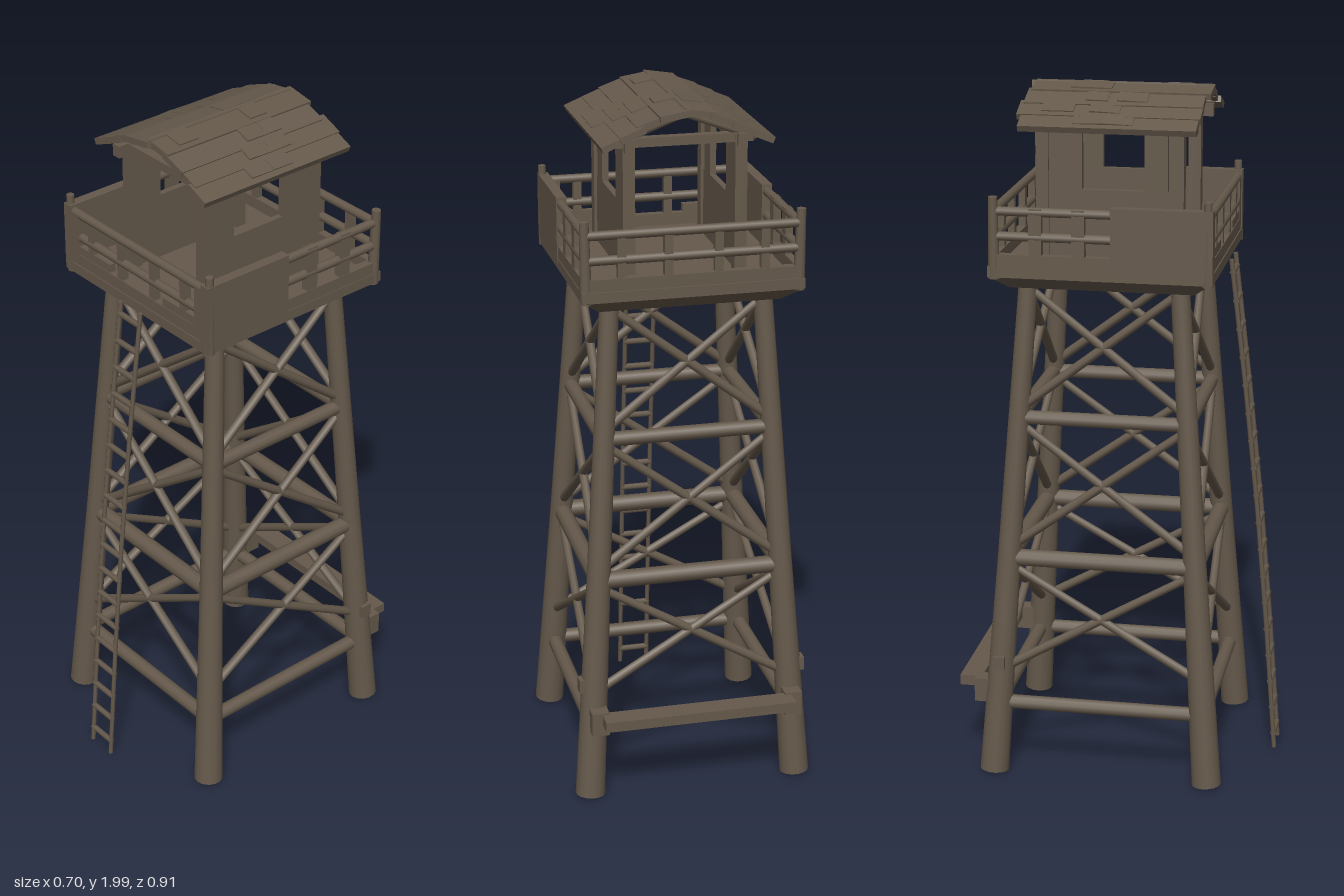
import * as THREE from 'three';

export function createModel() {
  const root = new THREE.Group();
  root.name = 'watchtower';
  const wood = new THREE.MeshStandardMaterial({ color: 0x65594b });
  wood.name = 'weathered wood';

  let seed = 7;
  const rand = () => (seed = (seed * 16807) % 2147483647) / 2147483647;
  const V = (x, y, z) => new THREE.Vector3(x, y, z);

  const group = (name) => {
    const g = new THREE.Group();
    g.name = name;
    root.add(g);
    return g;
  };
  const add = (parent, name, geo) => {
    const m = new THREE.Mesh(geo, wood);
    m.name = name;
    parent.add(m);
    return m;
  };
  // box given by its limits
  const box = (parent, name, x0, x1, y0, y1, z0, z1) => {
    const m = add(parent, name, new THREE.BoxGeometry(x1 - x0, y1 - y0, z1 - z0));
    m.position.set((x0 + x1) / 2, (y0 + y1) / 2, (z0 + z1) / 2);
    return m;
  };
  // round pole between two points
  const pole = (parent, name, a, b, ra, rb = ra, sides = 10) => {
    const d = b.clone().sub(a);
    const m = add(parent, name, new THREE.CylinderGeometry(rb, ra, d.length(), sides));
    m.position.copy(a).add(b).multiplyScalar(0.5);
    m.quaternion.setFromUnitVectors(V(0, 1, 0), d.normalize());
    return m;
  };

  // leg axis at height y; the frame leans inward
  const ZC = -0.035;
  const legAt = ([sx, sz], y) => {
    const t = y / 1.46;
    return V(sx * (0.308 - 0.09 * t), y, ZC + sz * (0.315 - 0.1 * t));
  };
  const corners = [[1, 1], [1, -1], [-1, -1], [-1, 1]];

  // legs
  const legs = group('legs');
  for (const c of corners) {
    pole(legs, 'leg', legAt(c, 0.01), legAt(c, 0.66), 0.043, 0.034, 14);
    pole(legs, 'leg', legAt(c, 0.66), legAt(c, 1.48), 0.034, 0.027, 14);
  }

  // horizontal beams and crossed braces on all four faces
  const frame = group('frame');
  corners.forEach((c, i) => {
    const d = corners[(i + 1) % 4];
    for (const [y, r] of [[0.22, 0.021], [0.66, 0.025], [1.075, 0.021]])
      pole(frame, 'crossBeam', legAt(c, y), legAt(d, y), r);
    for (const [y0, y1] of [[0.32, 0.64], [0.69, 1.06], [1.1, 1.45]]) {
      pole(frame, 'brace', legAt(c, y0), legAt(d, y1), 0.014, 0.012, 8);
      pole(frame, 'brace', legAt(d, y0), legAt(c, y1), 0.014, 0.012, 8);
    }
  });

  // step beam standing off the back legs
  const step = group('backBeam');
  box(step, 'beam', -0.28, 0.28, 0.255, 0.285, -0.455, -0.39);
  for (const s of [-1, 1]) {
    box(step, 'bracket', s * 0.285 - 0.025, s * 0.285 + 0.025, 0.22, 0.29, -0.405, -0.32);
    box(step, 'peg', s * 0.305 - 0.028, s * 0.305 + 0.028, 0.33, 0.37, -0.345, -0.31);
  }

  // platform with tapered underside
  const deck = group('platform');
  const skirt = new THREE.BoxGeometry(0.61, 0.04, 0.62);
  const p = skirt.attributes.position;
  for (let i = 0; i < p.count; i++)
    if (p.getY(i) < 0) p.setXYZ(i, p.getX(i) * 0.84, p.getY(i), p.getZ(i) * 0.84);
  skirt.computeVertexNormals();
  add(deck, 'underside', skirt).position.set(0, 1.475, ZC);
  box(deck, 'floor', -0.312, 0.312, 1.495, 1.525, -0.345, 0.283);

  // parapet: solid panels on the front half of the sides, rails elsewhere
  const rail = group('parapet');
  const ZF = 0.268, ZB = -0.328, X = 0.298;
  for (const s of [-1, 1]) {
    box(rail, 'sidePanel', s * X - 0.015, s * X + 0.015, 1.51, 1.70, 0.0, 0.283);
    box(rail, 'frontReturn', s * 0.277 - 0.025, s * 0.277 + 0.025, 1.51, 1.68, 0.253, 0.28);
    box(rail, 'sideBoard', s * X - 0.012, s * X + 0.012, 1.51, 1.56, ZB, 0);
    for (const y of [1.61, 1.68])
      pole(rail, 'sideRail', V(s * X, y, ZB), V(s * X, y, 0.01), 0.013);
    for (const z of [-0.09, -0.21])
      box(rail, 'sidePost', s * X - 0.011, s * X + 0.011, 1.52, 1.69, z - 0.018, z + 0.018);
    pole(rail, 'cornerPost', V(s * X, 1.49, ZB), V(s * 0.302, 1.72, ZB), 0.017, 0.013);
    pole(rail, 'cornerPost', V(s * X, 1.49, ZF), V(s * 0.302, 1.725, ZF), 0.017, 0.011);
  }
  for (const z of [ZF, ZB]) {
    box(rail, 'lowBoard', -0.3, 0.3, 1.51, 1.56, z - 0.012, z + 0.012);
    for (const y of [1.61, 1.68])
      pole(rail, 'rail', V(-X, y, z), V(X, y, z), 0.013);
    for (const x of [-0.2, -0.07, 0.07, 0.2])
      box(rail, 'railPost', x - 0.012, x + 0.012, 1.52, 1.68, z - 0.01, z + 0.01);
  }
  for (const s of [-1, 1])
    box(rail, 'frontBoard', s * 0.19 - 0.075, s * 0.19 + 0.075, 1.55, 1.585, ZF - 0.01, ZF + 0.01);

  // hut: open front and back, side walls with a window
  const hut = group('hut');
  for (const s of [-1, 1]) {
    for (const z of [0.163, -0.217])
      box(hut, 'post', s * 0.157 - 0.017, s * 0.157 + 0.017, 1.52, 1.91, z - 0.018, z + 0.018);
    box(hut, 'lowerWall', s * 0.157 - 0.009, s * 0.157 + 0.009, 1.52, 1.72, -0.21, 0.16);
    box(hut, 'wallBoard', s * 0.157 - 0.009, s * 0.157 + 0.009, 1.71, 1.9, 0.07, 0.135);
    box(hut, 'wallBoard', s * 0.157 - 0.009, s * 0.157 + 0.009, 1.71, 1.9, -0.205, -0.105);
    box(hut, 'wallPlate', s * 0.157 - 0.014, s * 0.157 + 0.014, 1.88, 1.915, -0.25, 0.215);
  }
  for (const z of [0.17, -0.22])
    box(hut, 'tieBeam', -0.19, 0.19, 1.89, 1.915, z - 0.014, z + 0.014);

  // roof: overlapping planks along z, uneven at the ends, over rafters
  const roof = group('roof');
  const edge = [[0, 1.987], [0.07, 1.972], [0.13, 1.947], [0.18, 1.924], [0.23, 1.9]];
  for (const s of [-1, 1]) {
    for (let i = 0; i < 4; i++) {
      const [x0, y0] = edge[i], [x1, y1] = edge[i + 1];
      const zf = 0.24 - rand() * 0.018, zb = -0.285 + rand() * 0.02;
      const len = Math.hypot(x1 - x0, y1 - y0);
      const m = add(roof, 'plank', new THREE.BoxGeometry(len + 0.018, 0.018, zf - zb));
      m.position.set(s * (x0 + x1) / 2, (y0 + y1) / 2, (zf + zb) / 2);
      m.rotation.z = s * (Math.atan2(y1 - y0, x1 - x0) + 0.05);
      // loose patches
      for (let k = 0; k < 2; k++) {
        const patch = add(roof, 'patch', new THREE.BoxGeometry(len * 0.8, 0.008, 0.05 + rand() * 0.05));
        patch.position.copy(m.position).add(V(0, 0.009, (rand() - 0.5) * 0.38));
        patch.position.z -= patch.position.z > 0.18 ? 0.04 : 0;
        patch.rotation.set((rand() - 0.5) * 0.1, 0, m.rotation.z);
      }
    }
    for (const z of [0.17, -0.22])
      pole(roof, 'rafter', V(s * 0.2, 1.9, z), V(0, 1.975, z), 0.012, 0.012, 6);
  }

  // ladder leaning on the front
  const ladder = group('ladder');
  const on = (x, t) => V(x, 0.02 + t * 1.49, 0.445 - t * 0.147 + 0.012 * Math.sin(t * Math.PI));
  for (const x of [-0.043, 0.043])
    for (let i = 0; i < 4; i++)
      pole(ladder, 'ladderRail', on(x, i / 4), on(x, (i + 1) / 4), 0.007, 0.007, 6);
  for (let i = 0; i < 18; i++) {
    const t = (i + 0.55) / 18;
    pole(ladder, 'rung', on(-0.046, t), on(0.046, t), 0.009, 0.009, 6);
  }

  return root;
}
